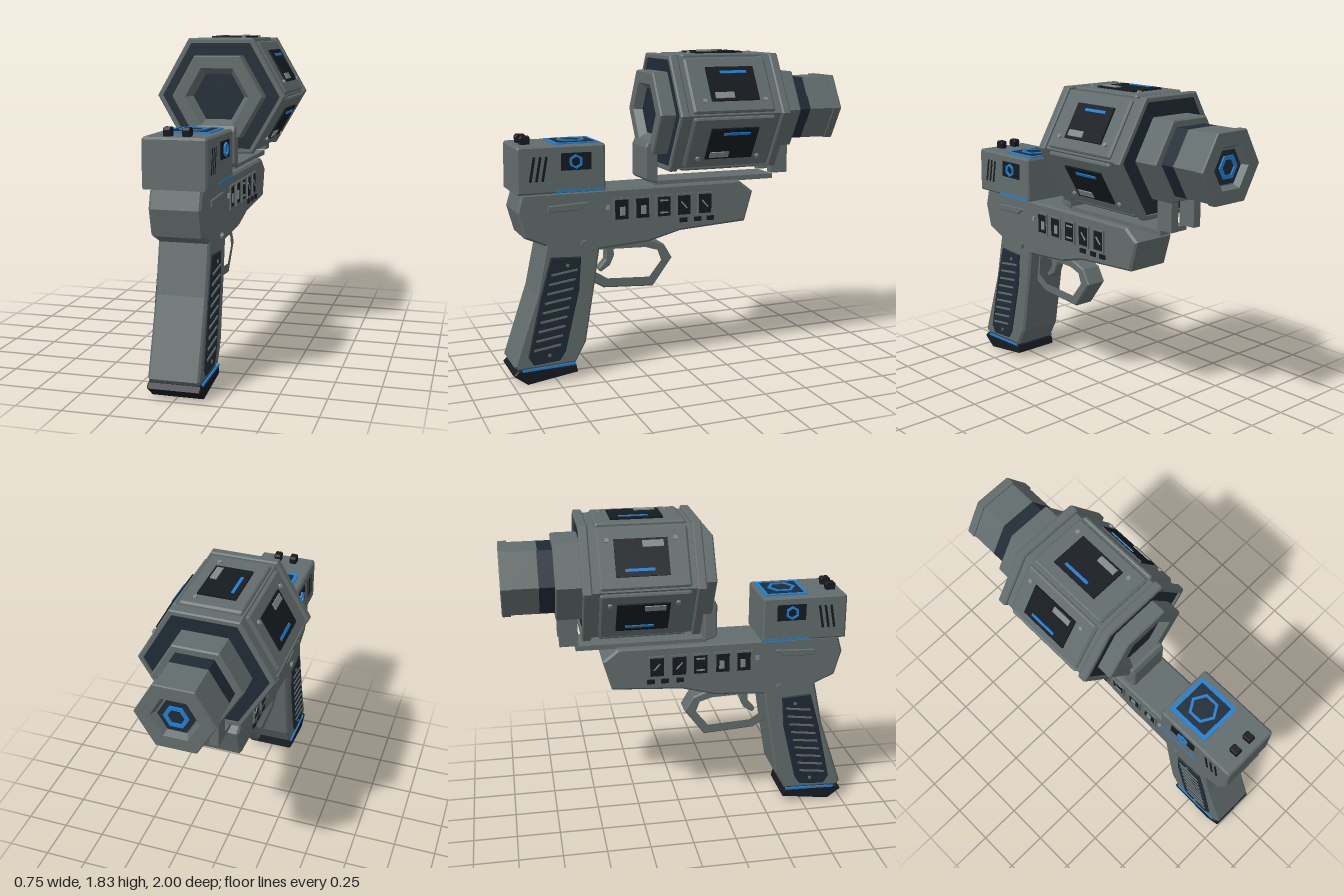
import * as THREE from 'three';

const paint = (name, color) => {
  const m = new THREE.MeshStandardMaterial({ color });
  m.name = name;
  return m;
};

export function createModel() {
  const gray = paint('gunmetal gray', 0x626c6c);
  const light = paint('light gray', 0x858b8b);
  const dark = paint('dark slate', 0x1f2b35);
  const black = paint('near black', 0x161b20);
  const blue = paint('signal blue', 0x1f7fd2);

  const model = new THREE.Group();
  model.name = 'heavyBlaster';

  const add = (name, geo, mat, parent = model) => {
    let g = geo.index ? geo.toNonIndexed() : geo;
    g.computeVertexNormals();
    const mesh = new THREE.Mesh(g, mat);
    mesh.name = name;
    parent.add(mesh);
    return mesh;
  };

  // Outline given as [z, y] points, extruded across x from x0 to x1
  const slab = (pts, x0, x1, bevel = 0, hole = null) => {
    const flip = list => list.map(([z, y]) => new THREE.Vector2(-z, y));
    const shape = new THREE.Shape(flip(pts));
    if (hole) shape.holes.push(new THREE.Path(flip(hole)));
    const geo = new THREE.ExtrudeGeometry(shape, {
      depth: x1 - x0 - 2 * bevel, bevelEnabled: bevel > 0, bevelThickness: bevel,
      bevelSize: bevel, bevelOffset: -bevel, bevelSegments: 1, curveSegments: 6,
    });
    geo.rotateY(Math.PI / 2);
    geo.translate(x0 + bevel, 0, 0);
    return geo;
  };
  const rect = (z, y, w, h) => [
    [z - w / 2, y - h / 2], [z + w / 2, y - h / 2], [z + w / 2, y + h / 2], [z - w / 2, y + h / 2]];
  const ngon = (z, y, r, n = 6) => Array.from({ length: n }, (_, i) => {
    const a = (i / n) * Math.PI * 2;
    return [z + r * Math.sin(a), y + r * Math.cos(a)];
  });
  const bar = (z0, y0, z1, y1, t) => {
    const l = Math.hypot(z1 - z0, y1 - y0), a = -(y1 - y0) / l * t / 2, b = (z1 - z0) / l * t / 2;
    return [[z0 + a, y0 + b], [z1 + a, y1 + b], [z1 - a, y1 - b], [z0 - a, y0 - b]];
  };
  // The same flat detail on the left and right flanks
  const both = (name, pts, x0, x1, mat, hole = null, bevel = 0) => {
    add(name + 'Left', slab(pts, x0, x1, bevel, hole), mat);
    add(name + 'Right', slab(pts, -x1, -x0, bevel, hole), mat);
  };
  const box = (name, w, h, d, x, y, z, mat, parent) =>
    add(name, new THREE.BoxGeometry(w, h, d).translate(x, y, z), mat, parent);

  // Frame and grip in one outline
  add('frameAndGrip', slab([
    [0.926, 1.08], [0.955, 0.98], [0.915, 0.835], [0.80, 0.785], [0.857, 0.517], [0.995, 0.11],
    [0.97, 0.085], [0.64, 0.095], [0.578, 0.206], [0.525, 0.517], [0.49, 0.74], [0.19, 0.76],
    [0, 0.81], [-0.41, 0.835], [-0.46, 1.01], [-0.37, 1.08]], -0.138, 0.138, 0.012), gray);

  // Magazine base
  add('magazineBase', slab([[1, 0.06], [0.92, 0], [0.63, 0.04], [0.64, 0.085], [0.975, 0.085]],
    -0.143, 0.143, 0.006), black);
  both('magazineLight', bar(0.95, 0.083, 0.645, 0.093, 0.012), 0.136, 0.146, blue);

  // Grip panels, ridges and screws
  both('gripPanel', [[0.775, 0.72], [0.60, 0.71], [0.615, 0.52], [0.70, 0.17], [0.735, 0.12],
    [0.885, 0.11], [0.915, 0.16], [0.835, 0.51]], 0.13, 0.146, dark, null, 0.005);
  for (let i = 0; i < 9; i++) {
    const y = 0.63 - i * 0.053, back = 0.775 + i * 0.0135, front = 0.625 + i * 0.013;
    both('gripRidge' + i, bar(back, y - 0.01, front, y + 0.01, 0.011), 0.144, 0.152, gray);
  }
  both('gripScrewTop', ngon(0.68, 0.668, 0.011), 0.144, 0.151, gray);
  both('gripScrewBottom', ngon(0.795, 0.16, 0.011), 0.144, 0.151, gray);

  // Trigger guard and trigger
  add('triggerGuard', slab([[0.50, 0.765], [0.19, 0.765], [0.075, 0.72], [0.025, 0.635], [0.145, 0.475],
    [0.445, 0.495], [0.535, 0.55]], -0.065, 0.065, 0.008,
  [[0.49, 0.73], [0.19, 0.72], [0.11, 0.695], [0.085, 0.625], [0.165, 0.525], [0.425, 0.54], [0.505, 0.59]]), gray);
  add('trigger', slab([[0.415, 0.76], [0.42, 0.65], [0.465, 0.60], [0.45, 0.58], [0.395, 0.615],
    [0.37, 0.67], [0.375, 0.76]], -0.03, 0.03, 0.005), gray);

  // Frame flank details
  both('framePin', ngon(0.578, 0.78, 0.022, 10), 0.13, 0.155, gray);
  both('smallPin', rect(0.44, 0.977, 0.02, 0.025), 0.13, 0.15, light);
  both('lever', [[0.785, 1.008], [0.785, 0.972], [0.60, 0.975], [0.55, 1.012], [0.56, 1.018]],
    0.13, 0.148, gray, null, 0.004);
  [0.36, 0.235, 0.105, -0.02, -0.15].forEach((z, i) => {
    both('displayFrame' + i, rect(z, 0.96, 0.1, 0.135), 0.13, 0.148, gray, rect(z, 0.96, 0.08, 0.113));
    both('display' + i, rect(z, 0.96, 0.08, 0.113), 0.134, 0.142, black);
    if (i > 2) both('displaySlash' + i, bar(z + 0.018, 0.98, z - 0.018, 0.94, 0.008), 0.14, 0.146, light);
    else if (i === 2) [0.925, 0.995].forEach((y, k) =>
      both('displayLine' + k, rect(z, y, 0.05, 0.009), 0.14, 0.146, light));
    else both('displayIcon' + i, rect(z - 0.006, 0.95, 0.03, 0.05), 0.14, 0.146, light);
  });
  [-0.015, -0.105, -0.185].forEach((z, i) =>
    both('button' + i, rect(z, 0.872, 0.045, 0.026), 0.13, 0.146, black));

  // Rear housing with sights, vents and side screens
  add('rearHousing', slab([[0.958, 1.08], [0.955, 1.33], [0.945, 1.342], [0.465, 1.342], [0.46, 1.33],
    [0.46, 1.08]], -0.17, 0.17, 0.01), gray);
  for (const s of [-1, 1]) {
    add('rearSight', slab([[0.91, 1.33], [0.915, 1.375], [0.905, 1.388], [0.862, 1.388], [0.855, 1.375],
      [0.86, 1.33]], s * 0.05 - 0.02, s * 0.05 + 0.02, 0.004), black);
  }
  for (let i = 0; i < 3; i++) {
    const z = 0.885 - i * 0.034;
    both('vent' + i, bar(z, 1.15, z - 0.025, 1.285, 0.014), 0.165, 0.172, black);
  }
  both('sideScreen', rect(0.627, 1.252, 0.17, 0.095), 0.166, 0.174, black);
  both('sideHexagon', ngon(0.63, 1.252, 0.04), 0.172, 0.184, blue, ngon(0.63, 1.252, 0.027));
  both('housingLight', rect(0.605, 1.09, 0.27, 0.012), 0.165, 0.173, blue);

  // Six-sided turned parts: [radius, height] profile, flat sides
  const hexTurn = (profile, axisZ = true) => {
    const g = new THREE.LatheGeometry(profile.map(p => new THREE.Vector2(...p)), 6, axisZ ? Math.PI / 2 : 0);
    return axisZ ? g.rotateX(Math.PI / 2) : g;
  };
  const disc = (r, a, b) => [[0, a], [r, a], [r, b], [0, b]];
  const ring = (r0, r1, a, b) => [[r0, a], [r1, a], [r1, b], [r0, b], [r0, a]];

  // Top emblem plate
  box('topPlateBorder', 0.25, 0.012, 0.255, 0, 1.343, 0.607, blue);
  box('topPlate', 0.205, 0.012, 0.21, 0, 1.345, 0.607, dark);
  add('topHexagon', hexTurn(ring(0.066, 0.083, 1.345, 1.357), false).translate(0, 0, 0.607), blue);

  // Rail and supports under the drum
  box('rail', 0.2, 0.028, 0.75, 0, 1.088, -0.23, gray);
  add('frontSupport', slab([[0.205, 1.12], [0.205, 1.30], [0.19, 1.33], [0.13, 1.33], [0.13, 1.09],
    [0.19, 1.105]], -0.115, 0.115, 0.008), gray);
  for (const s of [-1, 1]) box('rearSupport', 0.05, 0.18, 0.105, s * 0.085, 1.198, -0.643, gray);

  // Drum and barrel around one axis
  const drum = new THREE.Group();
  drum.name = 'drum';
  drum.position.y = 1.49;
  model.add(drum);
  const turn = (name, profile, mat) => add(name, hexTurn(profile), mat, drum);
  turn('drumCore', disc(0.357, -0.55, 0.06), gray);
  for (const [name, a, b] of [['frontFlange', 0.04, 0.092], ['rearFlange', -0.575, -0.523]]) {
    turn(name, [[0.345, a], [0.368, a], [0.376, a + 0.008], [0.376, b - 0.008], [0.368, b], [0.345, b], [0.345, a]], gray);
  }
  turn('frontFace', disc(0.346, 0.05, 0.08), dark);
  turn('rearFace', disc(0.346, -0.563, -0.54), dark);
  turn('frontCollar', [[0.1, 0.07], [0.265, 0.07], [0.265, 0.162], [0.257, 0.17], [0.185, 0.17],
    [0.147, 0.12], [0.1, 0.12]], gray);
  turn('frontLens', disc(0.148, 0.09, 0.126), dark);
  turn('rearCollar', [[0, -0.71], [0.242, -0.71], [0.25, -0.702], [0.25, -0.55], [0, -0.55]], gray);
  turn('barrelBand', disc(0.207, -0.795, -0.70), dark);
  turn('barrel', [[0, -0.965], [0.11, -0.965], [0.13, -1], [0.21, -1], [0.215, -0.993], [0.215, -0.95],
    [0.207, -0.95], [0.207, -0.79], [0, -0.79]], gray);
  turn('muzzleDisc', disc(0.1, -0.972, -0.96), dark);
  turn('muzzleLight', ring(0.045, 0.068, -0.98, -0.97), blue);

  // Raised panel with a screen on each drum face
  for (let i = 0; i < 6; i++) {
    const panel = new THREE.Group();
    panel.name = 'drumPanel' + i;
    panel.rotation.z = (i * Math.PI) / 3;
    drum.add(panel);
    add('plate', slab([[0.012, 0.3], [0.012, 0.318], [0, 0.328], [-0.472, 0.328], [-0.484, 0.318], [-0.484, 0.3]],
      -0.168, 0.168, 0.008), gray, panel);
    box('screen', 0.207, 0.014, 0.29, 0, 0.331, -0.248, black, panel);
    box('lightBar', 0.016, 0.008, 0.16, -0.069, 0.339, -0.263, blue, panel);
    box('readout', 0.036, 0.008, 0.115, 0.072, 0.34, -0.184, light, panel);
    for (const z of [-0.43, -0.06]) {
      add('bolt', new THREE.CylinderGeometry(0.012, 0.012, 0.016, 8).translate(0.1, 0.332, z), light, panel);
    }
  }
  return model;
}
